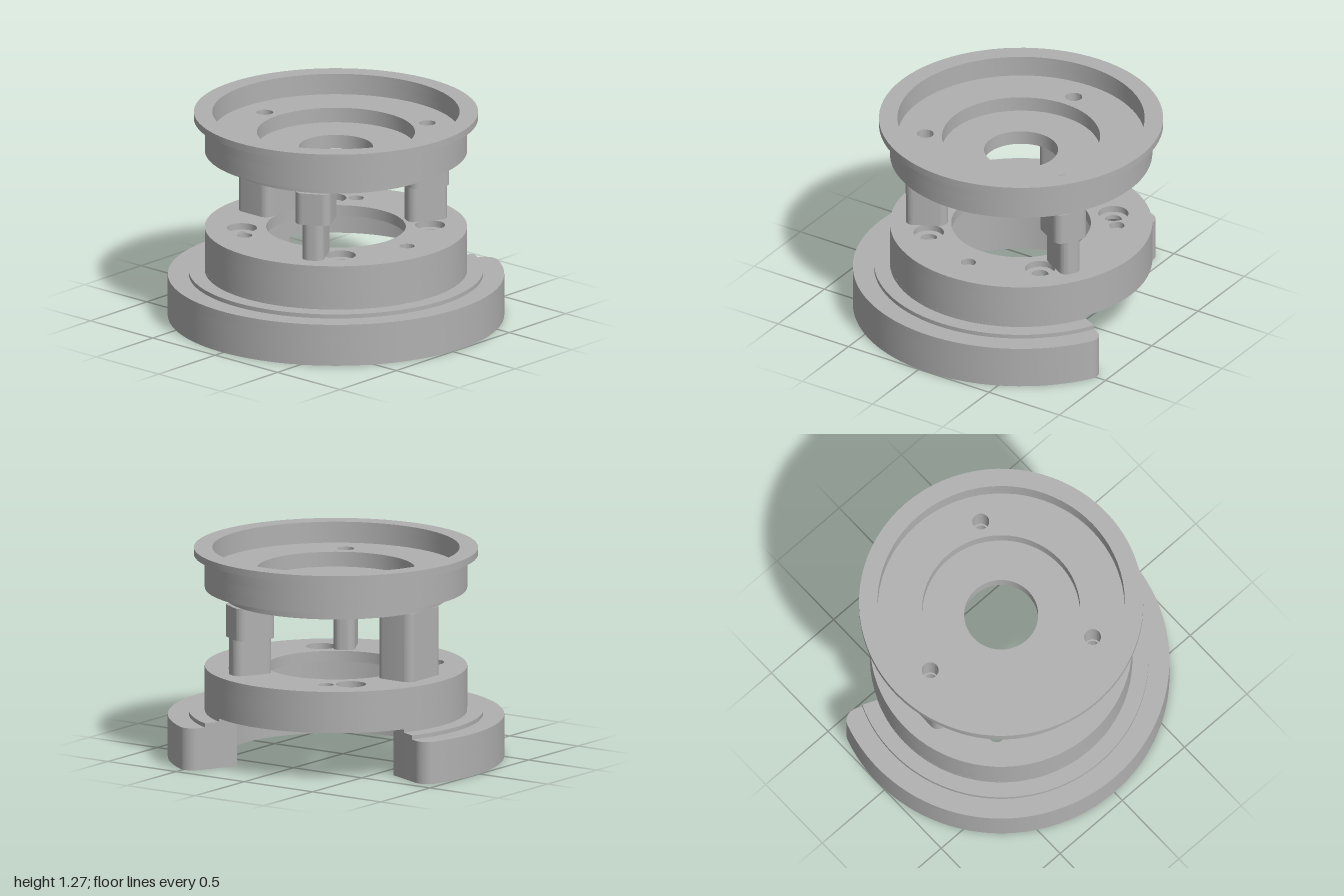
import * as THREE from 'three';
import { toCreasedNormals } from 'three/addons/utils/BufferGeometryUtils.js';

const rad = THREE.MathUtils.degToRad;
const TAU = Math.PI * 2;
const metal = new THREE.MeshStandardMaterial({ color: 0xb0b0b0 });
metal.name = 'greyMetal';

// Plan point at radius r and angle a (degrees, from +x towards +z)
const polar = (r, a) => [r * Math.cos(rad(a)), r * Math.sin(rad(a))];

const circle = (r, x = 0, z = 0, Type = THREE.Path) => new Type().absarc(x, z, r, 0, TAU, false);
const disc = r => circle(r, 0, 0, THREE.Shape);
const boltHoles = (r, pitch, angles) => angles.map(a => circle(r, ...polar(pitch, a)));

// Extrudes a plan outline (x, z) between two heights
function slab(name, shape, holes, y0, y1) {
  shape.holes.push(...holes);
  const geo = new THREE.ExtrudeGeometry(shape, { depth: y1 - y0, bevelEnabled: false, curveSegments: 40 });
  geo.rotateX(Math.PI / 2).translate(0, y1, 0);
  const mesh = new THREE.Mesh(toCreasedNormals(geo, 0.5), metal);
  mesh.name = name;
  return mesh;
}

// Open ring with radial ends whose outer corners have fillet radius f
function openRing(inner, outer, f) {
  const a0 = 27, a1 = 293;
  const s = new THREE.Shape();
  s.moveTo(...polar(inner, a0));
  if (f > 0) {
    const off = THREE.MathUtils.radToDeg(Math.asin(f / (outer - f)));
    s.absarc(...polar(outer - f, a0 + off), f, rad(a0 - 90), rad(a0 + off), false);
    s.absarc(0, 0, outer, rad(a0 + off), rad(a1 - off), false);
    s.absarc(...polar(outer - f, a1 - off), f, rad(a1 - off), rad(a1 + 90), false);
  } else {
    s.absarc(0, 0, outer, rad(a0), rad(a1), false);
  }
  s.absarc(0, 0, inner, rad(a1), rad(a0), true);
  return s;
}

// Curved pocket outline with softened corners
function pocket(mid) {
  const r0 = 0.76, r1 = 0.93, half = 13.5, c = 4, k = 0.05;
  const a = mid - half, b = mid + half;
  const p = new THREE.Path();
  p.moveTo(...polar(r0 + k, a));
  p.lineTo(...polar(r1 - k, a));
  p.quadraticCurveTo(...polar(r1, a), ...polar(r1, a + c));
  p.absarc(0, 0, r1, rad(a + c), rad(b - c), false);
  p.quadraticCurveTo(...polar(r1, b), ...polar(r1 - k, b));
  p.lineTo(...polar(r0 + k, b));
  p.quadraticCurveTo(...polar(r0, b), ...polar(r0, b - c));
  p.absarc(0, 0, r0, rad(b - c), rad(a + c), true);
  p.quadraticCurveTo(...polar(r0, a), ...polar(r0 + k, a));
  return p;
}

// Rounded rectangle with half sizes a (radial) and b (tangential)
function roundedRect(a, b, r) {
  const s = new THREE.Shape();
  s.moveTo(a, -b + r);
  s.absarc(a - r, b - r, r, 0, Math.PI / 2, false);
  s.absarc(-a + r, b - r, r, Math.PI / 2, Math.PI, false);
  s.absarc(-a + r, -b + r, r, Math.PI, Math.PI * 1.5, false);
  s.absarc(a - r, -b + r, r, Math.PI * 1.5, TAU, false);
  return s;
}

// Leg made of stacked sections [halfWidth, y0, y1], with a bolt hole down its length
function leg(name, angle, centre, sections) {
  const g = new THREE.Group();
  g.name = name;
  for (const [b, y0, y1] of sections) {
    g.add(slab(name + 'Section', roundedRect(0.125, b, 0.05), [circle(0.04, 0.57 - centre, 0)], y0, y1));
  }
  g.position.set(centre * Math.cos(rad(angle)), 0, centre * Math.sin(rad(angle)));
  g.rotation.y = -rad(angle);
  return g;
}

export function createModel() {
  const model = new THREE.Group();
  model.name = 'turntableHub';
  const legAngles = [30, 150, 270];
  const blindAngles = [90, 210, 330];
  const boltAngles = [45, 135, 225, 315];
  const legHoles = r => boltHoles(r, 0.57, legAngles);

  // Open base ring, hollowed from below
  const base = new THREE.Group();
  base.name = 'baseRing';
  const pockets = [67.5, 112.5, 157.5, 202.5, 247.5].map(pocket);
  const baseHoles = boltHoles(0.045, 0.865, [45, 90, 135, 180, 225, 270]);
  base.add(
    slab('pocketedRing', openRing(0.66, 1, 0.08), [...pockets, ...baseHoles], 0, 0.2),
    slab('ringRoof', openRing(0.66, 1, 0.08), [], 0.2, 0.255),
    slab('ringStep', openRing(0.66, 0.875, 0), [], 0.255, 0.28),
    slab('ringNeck', openRing(0.66, 0.78, 0), [], 0.28, 0.3)
  );

  // Middle drum with counterbored bolt holes
  const drum = new THREE.Group();
  drum.name = 'middleDrum';
  drum.add(
    slab('drumWall', disc(0.78), [circle(0.66)], 0.3, 0.485),
    slab('drumFloor', disc(0.78),
      [circle(0.415), ...legHoles(0.04), ...boltHoles(0.05, 0.56, boltAngles)], 0.485, 0.51),
    slab('drumTop', disc(0.78),
      [circle(0.415), ...legHoles(0.04), ...boltHoles(0.09, 0.56, boltAngles),
        ...boltHoles(0.045, 0.57, blindAngles)], 0.51, 0.55)
  );

  // Three legs: a wide one at the back, two stepped ones in front
  const stepped = [[0.065, 0.55, 0.77], [0.107, 0.77, 0.965]];
  const legs = new THREE.Group();
  legs.name = 'legs';
  legs.add(
    leg('backLeg', 270, 0.535, [[0.16, 0.55, 0.965]]),
    leg('frontLeftLeg', 30, 0.56, stepped),
    leg('frontRightLeg', 150, 0.56, stepped)
  );

  // Top dish with two recesses and a flange
  const dish = new THREE.Group();
  dish.name = 'topDish';
  dish.add(
    slab('dishShoulder', disc(0.66),
      [circle(0.22), ...legHoles(0.05), ...boltHoles(0.045, 0.57, blindAngles)], 0.965, 1.025),
    slab('dishFloor', disc(0.78), [circle(0.22), ...legHoles(0.05)], 1.025, 1.05),
    slab('dishLedge', disc(0.78), [circle(0.47), ...legHoles(0.05)], 1.05, 1.14),
    slab('dishWall', disc(0.78), [circle(0.735)], 1.14, 1.225),
    slab('dishFlange', disc(0.845), [circle(0.735)], 1.225, 1.267)
  );

  model.add(base, drum, legs, dish);
  for (const part of model.children) part.position.x = 0.07;
  return model;
}
